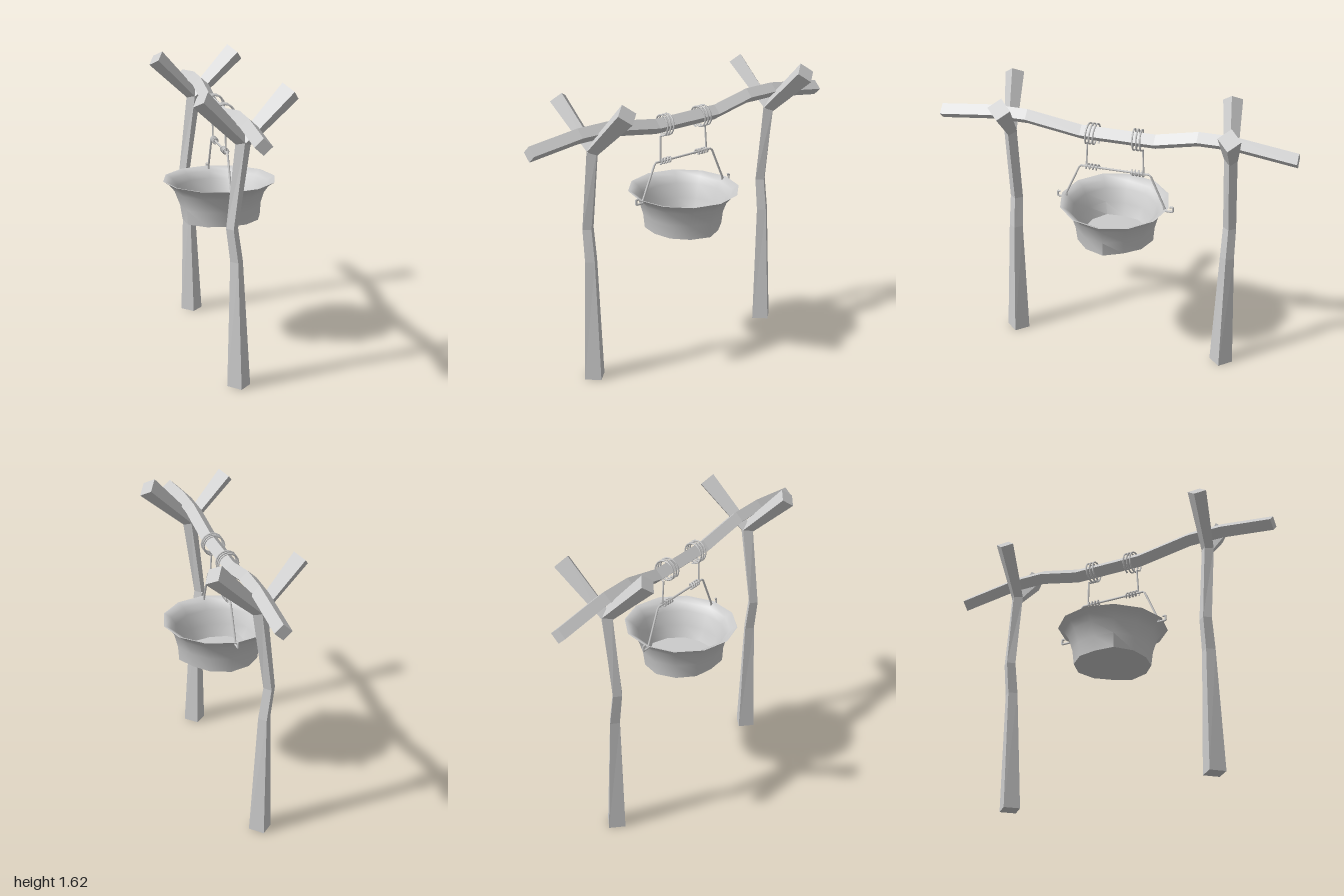
import * as THREE from 'three';
import { toCreasedNormals } from 'three/addons/utils/BufferGeometryUtils.js';

const V = (x, y, z) => new THREE.Vector3(x, y, z);
const wood = new THREE.MeshStandardMaterial({ color: 0xcccccc, flatShading: true });
const metal = new THREE.MeshStandardMaterial({ color: 0xcccccc, side: THREE.DoubleSide });
const cord = new THREE.MeshStandardMaterial({ color: 0xcccccc });

function mesh(name, geometry, material) {
  const m = new THREE.Mesh(geometry, material);
  m.name = name;
  return m;
}

// Four-sided timber through sections [x, y, z, ru, rv]; corners lie along u and v, and it runs along u x v
function timber(name, sections, u, v) {
  const pos = [];
  const rings = sections.map(([x, y, z, ru, rv]) =>
    [[ru, 0], [0, rv], [-ru, 0], [0, -rv]].map(([a, b]) => V(x, y, z).addScaledVector(u, a).addScaledVector(v, b)));
  const quad = (a, b, c, d) => [a, b, c, a, c, d].forEach(p => pos.push(p.x, p.y, p.z));
  for (let s = 0; s < rings.length - 1; s++)
    for (let i = 0; i < 4; i++) {
      const j = (i + 1) % 4;
      quad(rings[s][i], rings[s][j], rings[s + 1][j], rings[s + 1][i]);
    }
  quad(...[...rings[0]].reverse());
  quad(...rings[rings.length - 1]);
  const g = new THREE.BufferGeometry();
  g.setAttribute('position', new THREE.Float32BufferAttribute(pos, 3));
  g.computeVertexNormals();
  return mesh(name, g, wood);
}

// Fork arm, square to its own direction
function arm(name, from, r0, to, r1) {
  const d = to.clone().sub(from).normalize();
  const u = V(0, 0, 1).addScaledVector(d, -d.z).normalize();
  const v = d.clone().cross(u);
  return timber(name, [[...from.toArray(), r0, r0], [...to.toArray(), r1, r1]], u, v);
}

function forkedPost(name, z) {
  const post = new THREE.Group();
  post.name = name;
  post.position.z = z;
  post.add(
    timber('postTrunk', [
      [-0.033, 0.005, 0.003, 0.067, 0.063],
      [-0.046, 0.70, -0.002, 0.04, 0.034],
      [-0.07, 0.88, -0.004, 0.037, 0.032],
      [-0.012, 1.34, -0.004, 0.037, 0.041],
    ], V(0, 0, 1), V(1, 0, 0)),
    arm('leftForkArm', V(-0.01, 1.335, -0.005), 0.038, V(0.245, 1.583, -0.043), 0.062),
    arm('rightForkArm', V(-0.01, 1.335, -0.005), 0.036, V(-0.245, 1.575, 0.045), 0.054),
  );
  return post;
}

// Straight-sided wire through points
function wire(name, pts, r, material) {
  const path = new THREE.CurvePath();
  for (let i = 1; i < pts.length; i++) path.add(new THREE.LineCurve3(pts[i - 1], pts[i]));
  return mesh(name, new THREE.TubeGeometry(path, pts.length * 12, r, 6), material);
}

// Rope coil wound along z
function coil(name, x, y, z0, z1, turns, radius, r) {
  const pts = [];
  const n = turns * 8;
  for (let i = 0; i <= n; i++) {
    const a = (i / 8) * Math.PI * 2 - Math.PI / 2;
    pts.push(V(x + radius * Math.cos(a), y + radius * Math.sin(a), z0 + (z1 - z0) * i / n));
  }
  return mesh(name, new THREE.TubeGeometry(new THREE.CatmullRomCurve3(pts), n * 2, r, 5), cord);
}

function pot() {
  // Underside, flared wall, thin rim, inner wall, inner floor
  const profile = [
    [0, 0.767], [0.222, 0.767], [0.232, 0.85], [0.258, 0.93], [0.285, 0.966], [0.318, 0.988],
    [0.31, 0.988], [0.276, 0.966], [0.248, 0.93], [0.222, 0.85], [0.19, 0.785], [0, 0.785],
  ].map(p => new THREE.Vector2(...p));
  const g = new THREE.LatheGeometry(profile, 12);
  const p = g.attributes.position;
  // Beaten dents, stronger towards the base
  for (let i = 0; i < p.count; i++) {
    const a = Math.atan2(p.getZ(i), p.getX(i));
    const t = THREE.MathUtils.clamp((0.98 - p.getY(i)) / 0.2, 0, 1);
    const k = 1 + t * 0.045 * (Math.sin(3 * a + 0.6) + 0.6 * Math.cos(5 * a));
    p.setX(i, p.getX(i) * k);
    p.setZ(i, p.getZ(i) * k * 0.97);
  }
  g.deleteAttribute('uv');
  return mesh('pot', toCreasedNormals(g, 0.75), metal);
}

export function createModel() {
  const model = new THREE.Group();
  model.name = 'campfirePotStand';

  model.add(forkedPost('frontPost', 0.61), forkedPost('backPost', -0.635));

  // Crooked crossbeam resting in the forks
  const bends = [[1, 1.4], [0.7, 1.434], [0.5, 1.434], [0.19, 1.384], [-0.225, 1.384], [-0.46, 1.434], [-0.65, 1.434], [-1, 1.385]];
  model.add(timber('crossbeam', bends.map(([z, y]) => [-0.007, y, z, 0.043, 0.047]), V(0, 1, 0), V(1, 0, 0)));

  model.add(pot());
  model.add(wire('potHandle', [
    V(0, 0.975, 0.29), V(0, 1.18, 0.2), V(0, 1.18, -0.2), V(0, 0.975, -0.29),
  ], 0.006, cord));

  for (const s of [1, -1]) {
    // Hooked ear at the rim
    model.add(wire('potEar', [
      V(0, 0.992, s * 0.28), V(0, 0.968, s * 0.285), V(0, 0.968, s * 0.332), V(0, 0.996, s * 0.332), V(0, 0.996, s * 0.315),
    ], 0.006, cord));
    // Rope: wound round the beam, hanging down, wound round the handle
    model.add(
      coil('beamRopeCoil', -0.005, 1.382, s * 0.158, s * 0.095, 3, 0.058, 0.005),
      wire('hangingRope', [V(-0.005, 1.325, s * 0.157), V(0, 1.18, s * 0.163)], 0.005, cord),
      coil('handleRopeCoil', 0, 1.18, s * 0.165, s * 0.087, 4, 0.014, 0.005),
    );
  }
  return model;
}
